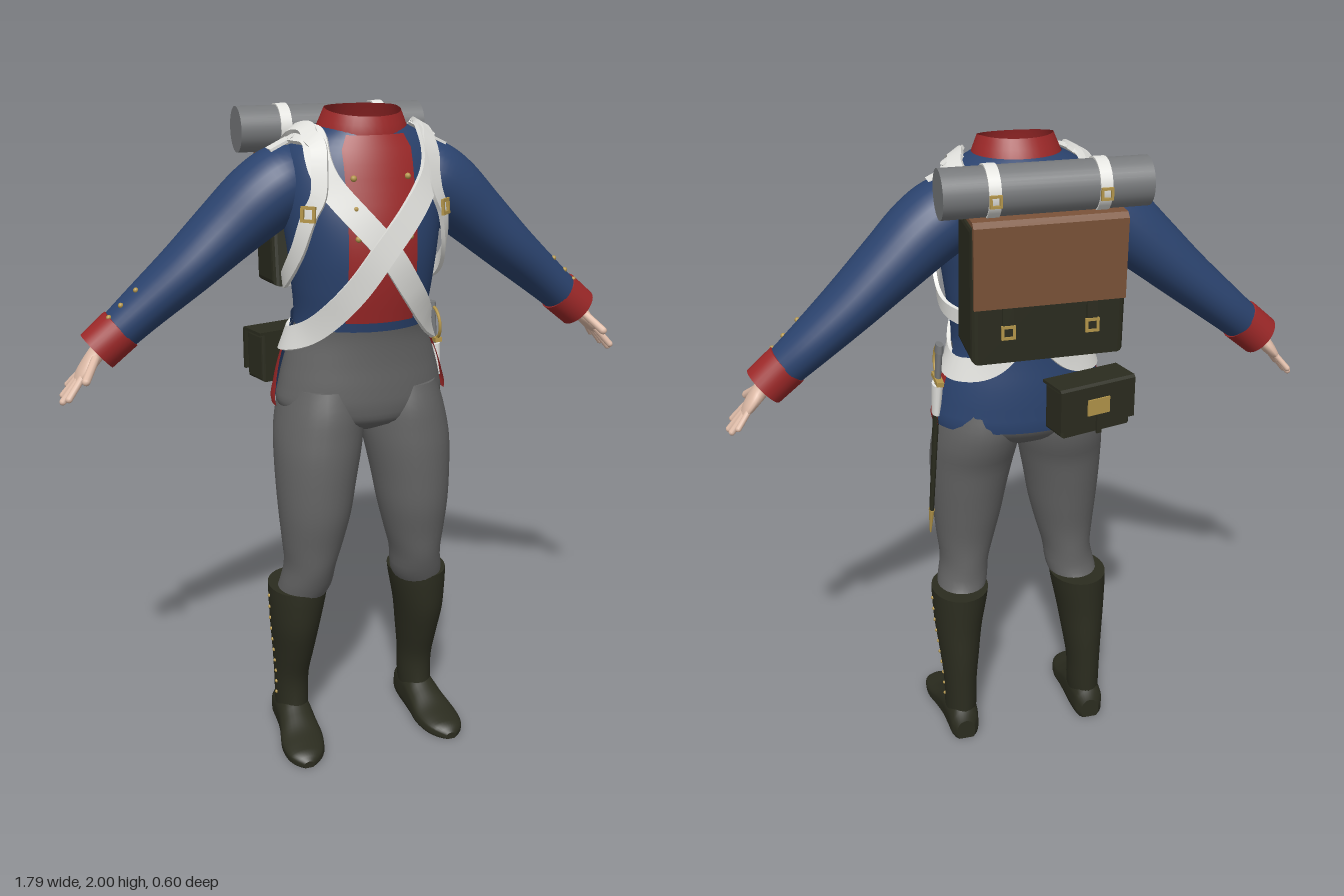
import * as THREE from 'three';
import { toCreasedNormals } from 'three/addons/utils/BufferGeometryUtils.js';

const V = (x, y, z) => new THREE.Vector3(x, y, z);
const RAD = Math.PI / 180;
const mat = (name, color) => new THREE.MeshStandardMaterial({ name, color, side: THREE.DoubleSide });
const M = {
  blue: mat('coat blue', 0x2b436e), red: mat('facing red', 0x9c2828), grey: mat('trouser grey', 0x646464),
  roll: mat('blanket grey', 0x77797b), white: mat('strap white', 0xe4e4e0), dark: mat('dark leather', 0x2b2c1f),
  skin: mat('skin', 0xdfbca8), brown: mat('flap brown', 0x7a5238), gold: mat('brass', 0xb3954a),
};

function add(parent, name, geo, material, x = 0, y = 0, z = 0) {
  const m = new THREE.Mesh(geo, material);
  m.name = name;
  m.position.set(x, y, z);
  parent.add(m);
  return m;
}

// Smooth interpolation of table rows; the first column is the key
function sample(rows, k) {
  let i = 0;
  while (i < rows.length - 2 && k > rows[i + 1][0]) i++;
  const a = rows[i], b = rows[i + 1], p = rows[i - 1] || a, q = rows[i + 2] || b, h = b[0] - a[0];
  const t = Math.min(1, Math.max(0, (k - a[0]) / h)), t2 = t * t, t3 = t2 * t;
  return a.map((_, j) => {
    const m0 = (b[j] - p[j]) / (b[0] - p[0]) * h, m1 = (q[j] - a[j]) / (q[0] - a[0]) * h;
    return (2 * t3 - 3 * t2 + 1) * a[j] + (t3 - 2 * t2 + t) * m0 + (3 * t2 - 2 * t3) * b[j] + (t3 - t2) * m1;
  });
}
const steps = (a, b, n) => Array.from({ length: n + 1 }, (_, i) => a + (b - a) * i / n);

// Elliptical ring round c, spanned by u and v
const ring = (c, u, v, n = 28) => steps(0, 2 * Math.PI, n).slice(0, n).map(
  t => c.clone().addScaledVector(u, Math.cos(t)).addScaledVector(v, Math.sin(t)));

// Skin over a list of rings, closed or open round, with optional end caps
function loft(rings, { caps = false, closed = true } = {}) {
  const n = rings[0].length, pts = rings.flat(), idx = [];
  for (let i = 0; i < rings.length - 1; i++) for (let j = 0; j < (closed ? n : n - 1); j++) {
    const a = i * n + j, b = i * n + (j + 1) % n;
    idx.push(a, b, a + n, b, b + n, a + n);
  }
  if (caps) [rings[0], rings[rings.length - 1]].forEach((r, end) => {
    const s = pts.length;
    pts.push(...r, r.reduce((q, p) => q.add(p), V(0, 0, 0)).divideScalar(n));
    for (let j = 0; j < n; j++) {
      const a = s + j, b = s + (j + 1) % n;
      idx.push(s + n, end ? a : b, end ? b : a);
    }
  });
  const g = new THREE.BufferGeometry().setFromPoints(pts);
  g.setIndex(idx);
  g.computeVertexNormals();
  return g;
}
// Upright loft from rows of [y, xMin, xMax, zMin, zMax]
const column = (rows, n) => loft(steps(rows[0][0], rows[rows.length - 1][0], n).map(k => {
  const [y, x0, x1, z0, z1] = sample(rows, k);
  return ring(V((x0 + x1) / 2, y, (z0 + z1) / 2), V(0, 0, (z1 - z0) / 2), V((x1 - x0) / 2, 0, 0));
}), { caps: true });

// Trunk: [y, half width, back z, front z]
const BODY = [[1.05, .06, 0, .14], [1.09, .2, -.07, .215], [1.14, .26, -.108, .235], [1.2, .256, -.112, .238],
  [1.28, .235, -.11, .236], [1.36, .207, -.103, .24], [1.42, .202, -.1, .252], [1.5, .21, -.1, .268], [1.6, .222, -.1, .278],
  [1.7, .235, -.105, .27], [1.8, .24, -.105, .245], [1.87, .225, -.1, .225], [1.92, .185, -.08, .205], [1.95, .13, -.045, .19]];
function trunk(th, y) {
  const [, rx, zb, zf] = sample(BODY, y);
  return V(rx * Math.sin(th), y, (zb + zf) / 2 + (zf - zb) / 2 * Math.cos(th));
}
function normalAt(th, y) {
  const e = .002, du = trunk(th + e, y).sub(trunk(th - e, y));
  const y1 = Math.min(y + e, 1.95), y0 = Math.max(y - e, 1.05);
  return du.cross(trunk(th, y1).sub(trunk(th, y0))).normalize();
}
const onTrunk = (th, y, off) => trunk(th, y).addScaledVector(normalAt(th, y), off);
const trunkSkin = (y0, y1, off, n) => loft(steps(y0, y1, n).map(
  y => steps(0, 2 * Math.PI, 48).slice(0, 48).map(t => onTrunk(t, y, off))));

// Cloth panel on the trunk; span(y, v) gives its two side angles
const panel = (span, y0, y1, off) => loft(steps(y0, y1, 14).map((y, i) => {
  const [a, b] = span(y, i / 14);
  return steps(a, b, 20).map(t => onTrunk(t, y, off));
}), { closed: false });

// Flat leather strap following [angle, y] points over the trunk
function strap(points, width, off, side = 1) {
  const curve = new THREE.CatmullRomCurve3(points.map(([d, y]) => V(side * d * RAD, y, 0)));
  const N = 90, at = t => { const q = curve.getPoint(t); return [q.x, Math.min(q.y, 1.945)]; };
  const rings = steps(0, 1, N).map(t => {
    const p = at(t), c = onTrunk(...p, off), n = normalAt(...p);
    const dir = trunk(...at(Math.min(1, t + .006))).sub(trunk(...at(Math.max(0, t - .006))));
    const b = dir.cross(n).normalize().multiplyScalar(width / 2);
    return [[1, 0], [1, -.012], [-1, -.012], [-1, 0]].map(([w, d]) => c.clone().addScaledVector(b, w).addScaledVector(n, d));
  });
  return toCreasedNormals(loft(rings, { caps: true }), .7);
}
function pin(parent, name, geo, material, th, y, off) {
  const p = onTrunk(th, y, off), m = add(parent, name, geo, material, p.x, p.y, p.z);
  m.lookAt(p.clone().add(normalAt(th, y)));
  return m;
}
// Side profile of [z, y] points extruded across x
function slab(profile, width, bevel) {
  const g = new THREE.ExtrudeGeometry(new THREE.Shape(profile.map(([z, y]) => new THREE.Vector2(z, y))), {
    depth: width - 2 * bevel, bevelEnabled: bevel > 0, bevelSize: bevel, bevelThickness: bevel, bevelOffset: -bevel, bevelSegments: 3 });
  return g.rotateY(-Math.PI / 2).translate(width / 2 - bevel, 0, 0);
}
const stud = r => new THREE.SphereGeometry(r, 10, 8);
const box = (x, y, z) => new THREE.BoxGeometry(x, y, z);

function buckle(parent, x, y, z, s) {
  for (const k of [-1, 1]) {
    add(parent, 'buckleBar', box(s, s * .2, .008), M.gold, x, y + k * s * .4, z);
    add(parent, 'buckleSide', box(s * .2, s, .008), M.gold, x + k * s * .4, y, z);
  }
}

const LEG = [[.5, .125, .275, -.03, .15], [.55, .105, .268, -.005, .175], [.62, .097, .255, 0, .2], [.7, .075, .262, -.002, .215],
  [.8, .05, .271, -.02, .235], [.9, .032, .276, -.04, .241], [1, .012, .277, -.062, .242], [1.06, .002, .272, -.085, .238],
  [1.13, 0, .257, -.1, .232], [1.2, .015, .235, -.09, .215]];
const BOOT = [[.05, .17, .27, -.065, .1], [.12, .165, .27, -.065, .09], [.2, .163, .272, -.065, .092], [.3, .15, .28, -.065, .125],
  [.4, .135, .29, -.06, .155], [.5, .115, .295, -.06, .165], [.535, .11, .295, -.06, .165]];
const SHOE = [[-.076, .22, .03, .07], [-.06, .22, .046, .11], [0, .219, .053, .125], [.06, .221, .056, .12], [.11, .225, .061, .095],
  [.17, .231, .069, .066], [.23, .237, .062, .05], [.265, .241, .044, .04], [.285, .243, .016, .022]];
const ARM = [[0, .15, 1.81, .03, .085, .09], [1, .215, 1.793, .03, .108, .116], [2, .29, 1.745, .025, .108, .12],
  [3, .39, 1.66, .015, .095, .114], [4, .51, 1.555, .008, .08, .105], [5, .63, 1.455, 0, .068, .084], [6, .725, 1.375, 0, .06, .062]];

function armRing(t) {
  const [, x, y, z, r, rz] = sample(ARM, t), a = sample(ARM, Math.max(0, t - .1)), b = sample(ARM, Math.min(6, t + .1));
  const n = V(a[2] - b[2], b[1] - a[1], 0).normalize();
  return ring(V(x, y, z), n.multiplyScalar(r), V(0, 0, rz));
}

// Leg, boot, arm and hand of the left side
function limbs() {
  const g = new THREE.Group();
  add(g, 'trouserLeg', column(LEG, 28), M.grey);
  add(g, 'bootShaft', column(BOOT, 20), M.dark);
  add(g, 'shoe', loft(steps(-.076, .285, 30).map(k => {
    const [z, x, w, h] = sample(SHOE, k);
    return ring(V(x, h / 2, z), V(0, h / 2, 0), V(w, 0, 0)).map(p => (p.y < h / 2 && (p.y = Math.max(0, p.y - h * .2)), p));
  }), { caps: true }), M.dark);
  for (const y of steps(.13, .5, 9)) {
    const [, x0, x1, z0, z1] = sample(BOOT, y), z = .01 + y * .08, q = (z - (z0 + z1) / 2) / ((z1 - z0) / 2);
    add(g, 'bootButton', stud(.006), M.gold, (x0 + x1) / 2 + (x1 - x0) / 2 * Math.sqrt(1 - q * q), y, z);
  }
  add(g, 'sleeve', loft(steps(0, 6, 30).map(armRing)), M.blue);
  const up = V(.645, .764, 0), cuff = [[.7, 1.397, .06], [.702, 1.395, .067], [.774, 1.335, .065], [.775, 1.334, .035]];
  add(g, 'cuff', toCreasedNormals(loft(cuff.map(([x, y, r]) => ring(V(x, y, 0), up.clone().multiplyScalar(r), V(0, 0, r))), { caps: true }), .7), M.red);
  for (const t of [4.9, 5.35, 5.75]) {
    const p = armRing(t)[2];
    add(g, 'cuffButton', stud(.008), M.gold, p.x, p.y, p.z);
  }
  const hand = new THREE.Group();
  hand.name = 'hand';
  hand.position.set(.768, 1.34, .005);
  hand.rotation.z = -.88;
  g.add(hand);
  const PALM = [[-.02, .026, .03], [.02, .024, .031], [.05, .021, .041], [.085, .016, .044], [.108, .009, .036]];
  add(hand, 'palm', loft(steps(-.02, .108, 12).map(k => {
    const [x, t, w] = sample(PALM, k);
    return ring(V(x, 0, 0), V(0, t, 0), V(0, 0, w), 16);
  }), { caps: true }), M.skin);
  for (const [x, z, a, len, r] of [[.092, .032, .32, .07, .0105], [.1, .011, .1, .08, .0105], [.098, -.012, -.13, .073, .01],
    [.088, -.032, -.38, .058, .009], [.025, .026, .8, .085, .0125]]) {
    const f = add(hand, x < .05 ? 'thumb' : 'finger',
      new THREE.CapsuleGeometry(r, len, 4, 10).translate(0, len / 2, 0).rotateZ(-Math.PI / 2), M.skin, x, 0, z);
    f.rotation.y = -a;
  }
  add(g, 'shoulderTab', box(.07, .008, .05), M.white, .235, 1.9, .045).rotation.z = -.45;
  return g;
}

export function createModel() {
  const root = new THREE.Group();
  root.name = 'soldierUniform';
  for (const s of [1, -1]) {
    const g = limbs();
    g.name = s > 0 ? 'leftLimbs' : 'rightLimbs';
    g.scale.x = s;
    root.add(g);
  }

  // Coat, collar and tails
  const cap = trunkSkin(1.05, 1.42, -.004, 24);
  add(root, 'trouserSeat', cap, M.grey);
  add(root, 'trouserTop', new THREE.CircleGeometry(1, 32).rotateX(-Math.PI / 2).scale(.19, 1, .16), M.grey, 0, 1.42, .075);
  add(root, 'coat', trunkSkin(1.385, 1.95, 0, 36), M.blue);
  const COLLAR = [[1.9, .142, -.055, .203], [1.935, .136, -.046, .203], [1.97, .122, -.03, .198], [2, .11, -.015, .19]];
  add(root, 'collar', loft(COLLAR.map(([y, w, z0, z1]) =>
    ring(V(0, y, (z0 + z1) / 2), V(0, 0, (z1 - z0) / 2), V(w, 0, 0), 36).map(p => (p.y -= Math.max(0, p.z - .06) * (y - 1.9) * 1.5, p)))), M.red);
  add(root, 'chestFacing', panel(y => {
    const a = Math.asin(.1 / sample(BODY, Math.min(y, 1.9))[1]);
    return [-a, a];
  }, 1.415, 1.93, .006), M.red);
  add(root, 'coatTail', panel(() => [100 * RAD, 260 * RAD], 1.145, 1.41, .008), M.blue);
  for (const s of [1, -1]) {
    add(root, 'tailTurnback', panel((y, v) => [s * (82 + 14 * v) * RAD, s * 104 * RAD], 1.145, 1.33, .011), M.red);
    for (const y of [1.66, 1.74, 1.82]) pin(root, 'coatButton', stud(.009), M.gold, s * 19 * RAD, y, .008);
    pin(root, 'tailButton', stud(.011), M.gold, s * 160 * RAD, 1.4, .012);
  }

  // Crossed belts, shoulder straps and their buckles
  const belt = [[90, 1.925], [52, 1.905], [35, 1.8], [0, 1.63], [-25, 1.5], [-58, 1.385], [-90, 1.335], [-120, 1.33],
    [-150, 1.37], [-178, 1.5], [-205, 1.68], [-235, 1.87], [-270, 1.925]];
  const sling = [[150, 1.83], [120, 1.9], [88, 1.93], [60, 1.918], [43, 1.87], [42, 1.79], [52, 1.715], [66, 1.62], [90, 1.53], [120, 1.5], [152, 1.5]];
  for (const s of [1, -1]) {
    add(root, 'crossBelt', strap(belt, .072, s > 0 ? .021 : .014, s), M.white);
    add(root, 'packStrap', strap(sling, .046, .026, s), M.white);
    const b = new THREE.Group();
    b.name = 'strapBuckle';
    const p = onTrunk(s * 51 * RAD, 1.725, .03);
    b.position.copy(p);
    b.lookAt(p.clone().add(normalAt(s * 51 * RAD, 1.725)));
    buckle(b, 0, 0, 0, .045);
    root.add(b);
  }

  // Backpack with flap, and the blanket roll on top
  const pack = new THREE.Group();
  pack.name = 'backpack';
  root.add(pack);
  add(pack, 'packBody', slab([[-.125, 1.85], [-.29, 1.84], [-.272, 1.445], [-.085, 1.46]], .44, .018), M.dark);
  add(pack, 'packFlap', slab([[-.13, 1.848], [-.13, 1.857], [-.285, 1.852], [-.3, 1.838], [-.291, 1.61], [-.278, 1.61], [-.284, 1.838]], .43, 0), M.brown);
  for (const s of [1, -1]) {
    add(pack, 'flapStrap', box(.03, .1, .008), M.dark, s * .12, 1.575, -.286);
    buckle(pack, s * .12, 1.54, -.29, .04);
    add(pack, 'rollStrap', new THREE.CylinderGeometry(.073, .073, .034, 28, 1, false).rotateZ(Math.PI / 2), M.white, s * .152, 1.915, -.218);
    buckle(pack, s * .152, 1.905, -.294, .034);
  }
  add(pack, 'blanketRoll', new THREE.CylinderGeometry(.068, .068, .58, 32).rotateZ(Math.PI / 2), M.roll, 0, 1.915, -.218);

  // Cartridge pouch behind the right hip
  const pouch = new THREE.Group();
  pouch.name = 'pouch';
  pouch.position.set(-.16, 1.24, -.152);
  pouch.rotation.y = .25;
  root.add(pouch);
  add(pouch, 'pouchBody', slab([[.05, -.075], [.05, .075], [-.045, .075], [-.045, -.075]], .24, .01), M.dark);
  add(pouch, 'pouchLid', slab([[.05, .074], [.05, .083], [-.05, .083], [-.056, .075], [-.056, -.05], [-.044, -.05], [-.044, .074]], .256, 0), M.dark);
  add(pouch, 'pouchPlate', box(.075, .05, .006), M.gold, 0, .01, -.058);
  add(pouch, 'pouchTab', box(.016, .06, .008), M.dark, 0, -.045, -.06);

  // Sword hanging at the left hip, its length along local y
  const sword = new THREE.Group();
  sword.name = 'sword';
  const top = V(.252, 1.4, .02), tip = V(.292, .745, .06);
  sword.position.copy(tip);
  sword.quaternion.setFromUnitVectors(V(0, 1, 0), top.clone().sub(tip).normalize());
  root.add(sword);
  const rod = (name, r0, r1, y0, y1, m) => add(sword, name, new THREE.CylinderGeometry(r1, r0, y1 - y0, 14).scale(.65, 1, 1.15), m, 0, (y0 + y1) / 2, 0);
  rod('scabbard', .011, .016, .07, .52, M.dark);
  rod('scabbardTip', .004, .014, 0, .085, M.gold);
  rod('swordFrog', .02, .026, .43, .53, M.white);
  rod('swordGrip', .014, .016, .53, .645, M.roll);
  rod('pommel', .02, .018, .635, .66, M.roll);
  add(sword, 'crossGuard', box(.022, .014, .085), M.gold, 0, .545, 0);
  add(sword, 'knuckleBow', new THREE.TorusGeometry(.05, .005, 8, 16, Math.PI).rotateZ(-Math.PI / 2).rotateY(-Math.PI / 2), M.gold, 0, .595, .01);
  return root;
}
